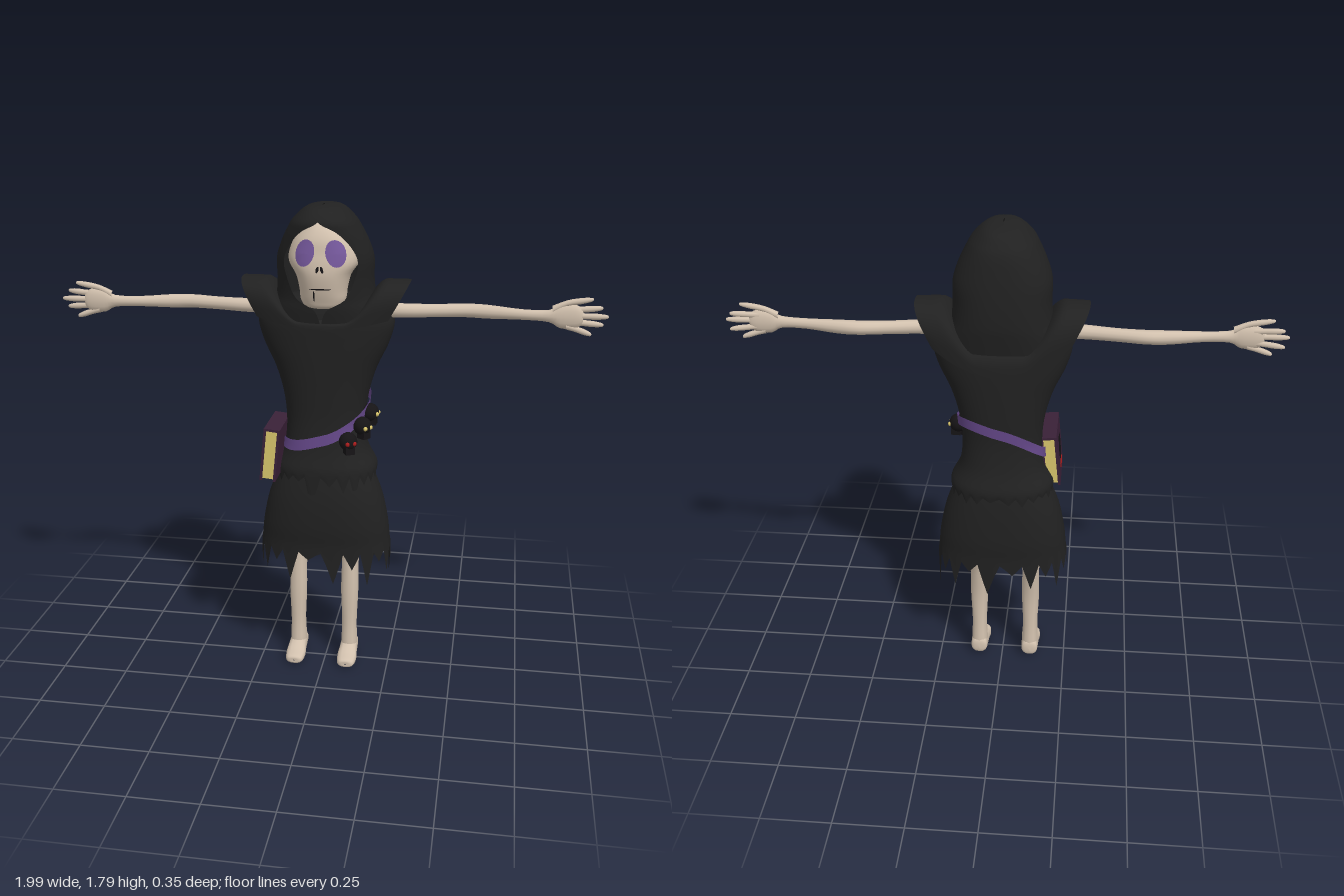
import * as THREE from 'three';
import { mergeVertices } from 'three/addons/utils/BufferGeometryUtils.js';

const mat = (name, color, side = THREE.FrontSide) => {
  const m = new THREE.MeshStandardMaterial({ color, side });
  m.name = name;
  return m;
};
const M = {
  cloth: mat('black cloth', 0x212121, THREE.DoubleSide),
  bone: mat('bone', 0xd2c1ae),
  belt: mat('purple leather', 0x644788, THREE.DoubleSide),
  eye: mat('violet eye', 0x75589c, THREE.DoubleSide),
  cover: mat('plum cover', 0x3a2138),
  page: mat('yellow pages', 0xd9c56c),
  red: mat('red', 0xa81c1c),
  dark: mat('near black', 0x161416, THREE.DoubleSide),
};

const add = (parent, name, geo, material, x = 0, y = 0, z = 0) => {
  const m = new THREE.Mesh(geo, material);
  m.name = name;
  m.position.set(x, y, z);
  parent.add(m);
  return m;
};

// Smooth surface from a point rule over u, v in 0..1
function surface(nu, nv, rule) {
  const pos = [], idx = [];
  for (let j = 0; j <= nv; j++) for (let i = 0; i <= nu; i++) pos.push(...rule(i / nu, j / nv));
  for (let j = 0; j < nv; j++) for (let i = 0; i < nu; i++) {
    const a = j * (nu + 1) + i, c = a + nu + 1;
    idx.push(a, a + 1, c, a + 1, c + 1, c);
  }
  let g = new THREE.BufferGeometry();
  g.setAttribute('position', new THREE.Float32BufferAttribute(pos, 3));
  g.setIndex(idx);
  g = mergeVertices(g, 1e-5);
  g.computeVertexNormals();
  return g;
}

// Catmull-Rom through rows of numbers
function sample(rows, f) {
  const s = f * (rows.length - 1), i = Math.min(Math.floor(s), rows.length - 2), t = s - i;
  const r = k => rows[Math.max(0, Math.min(rows.length - 1, k))];
  return rows[i].map((b, n) => {
    const a = r(i - 1)[n], c = r(i + 1)[n], d = r(i + 2)[n];
    return b + 0.5 * t * (c - a + t * (2 * a - 5 * b + 4 * c - d + t * (3 * (b - c) + d - a)));
  });
}
const POW = 0.85;
const sp = v => Math.sign(v) * Math.abs(v) ** POW;
const ringPoint = ([y, rx, zf, zb], t) =>
  [rx * sp(Math.sin(t)), y, (zf + zb) / 2 - (zf - zb) / 2 * sp(Math.cos(t))];

// Rows run top to bottom: [y, half width, front z, back z, half opening]; angle 0 is the back
function loft(rows, n = 32, hem = null) {
  const nv = (rows.length - 1) * 4;
  return surface(n, nv, (u, v) => {
    const row = sample(rows, v);
    const open = Math.max(0, row[4] || 0) / Math.max(row[1], 1e-4);
    const T = Math.PI - Math.asin(Math.min(1, open ** (1 / POW)));
    const p = ringPoint(row, (u * 2 - 1) * T);
    if (hem) p[1] -= hem(u) * Math.max(0, v * (rows.length - 1) - (rows.length - 2));
    return p;
  });
}

// Limb along x through [x, y, z, y radius, z radius]
const limb = (rows, n = 10) => surface(n, (rows.length - 1) * 3, (u, v) => {
  const [x, y, z, ry, rz] = sample(rows, v), t = u * 2 * Math.PI;
  return [x, y + ry * Math.cos(t), z + rz * Math.sin(t)];
});

// Row of a loft at a given height
function rowAt(rows, y) {
  let i = 0;
  while (i < rows.length - 2 && rows[i + 1][0] > y) i++;
  const t = (rows[i][0] - y) / (rows[i][0] - rows[i + 1][0]);
  return rows[i].map((a, k) => a + (rows[i + 1][k] - a) * t);
}

// Triangular tatters, one depth per tooth
const tatters = depths => u => {
  const s = Math.min(u, 0.99999) * depths.length, k = Math.floor(s);
  return u === 1 ? 0 : depths[k] * (1 - Math.abs(2 * (s - k) - 1));
};

const TORSO = [
  [1.47, 0.02, 0, -0.05], [1.45, 0.17, 0.07, -0.11], [1.39, 0.245, 0.095, -0.135], [1.3, 0.232, 0.097, -0.14],
  [1.2, 0.187, 0.095, -0.14], [1.1, 0.158, 0.092, -0.138], [1.0, 0.147, 0.092, -0.135],
  [0.9, 0.156, 0.105, -0.148], [0.83, 0.19, 0.125, -0.17], [0.805, 0.19, 0.125, -0.168],
];
const SKIRT = [
  [0.86, 0.15, 0.09, -0.13], [0.79, 0.18, 0.115, -0.148], [0.7, 0.215, 0.13, -0.157],
  [0.6, 0.237, 0.132, -0.16], [0.53, 0.245, 0.125, -0.155], [0.5, 0.25, 0.125, -0.155],
];
const SKULL = [
  [1.735, 0.002, 0.03, 0.02], [1.725, 0.05, 0.085, -0.07], [1.68, 0.1, 0.118, -0.1], [1.63, 0.124, 0.128, -0.1],
  [1.59, 0.124, 0.135, -0.09], [1.55, 0.098, 0.136, -0.06], [1.5, 0.085, 0.126, -0.04],
  [1.46, 0.08, 0.113, -0.02], [1.435, 0.06, 0.1, 0], [1.425, 0.002, 0.06, 0.04],
];
const HOOD = [
  [1.79, 0.002, 0.06, 0.02, 0], [1.782, 0.06, 0.13, -0.085, 0], [1.745, 0.105, 0.172, -0.125, 0],
  [1.71, 0.128, 0.172, -0.142, 0.06], [1.66, 0.153, 0.16, -0.152, 0.105], [1.6, 0.172, 0.15, -0.16, 0.13],
  [1.53, 0.172, 0.138, -0.165, 0.115], [1.47, 0.178, 0.128, -0.165, 0.085], [1.43, 0.19, 0.125, -0.16, 0.02],
  [1.37, 0.2, 0.115, -0.15, 0],
];

// Thin disc laid on the face
function faceDisc(cx, cy, rx, ry, tilt, lift) {
  const g = new THREE.RingGeometry(0.001, 1, 20, 5), p = g.attributes.position;
  for (let i = 0; i < p.count; i++) {
    const a = p.getX(i) * rx, b = p.getY(i) * ry;
    const x = cx + a * Math.cos(tilt) - b * Math.sin(tilt), y = cy + a * Math.sin(tilt) + b * Math.cos(tilt);
    const [, w, zf, zb] = rowAt(SKULL, y);
    const c = (1 - Math.min(1, Math.abs(x / w)) ** (2 / POW)) ** (POW / 2);
    p.setXYZ(i, x, y, (zf + zb) / 2 + (zf - zb) / 2 * c + lift);
  }
  g.computeVertexNormals();
  return g;
}

export function createModel() {
  const root = new THREE.Group();
  root.name = 'hoodedSkeleton';

  // Robe
  let seed = 11;
  const rand = () => (seed = (seed * 16807) % 2147483647) / 2147483647;
  const skirtTeeth = Array.from({ length: 22 }, (_, k) => (k % 2 ? 0.09 : 0.03) + rand() * 0.06);
  const tunicTeeth = Array.from({ length: 24 }, () => 0.015 + rand() * 0.025);
  tunicTeeth[0] = 0.13;
  tunicTeeth[22] = 0.06;
  tunicTeeth[21] = 0.09;
  add(root, 'tunic', loft(TORSO, 96, tatters(tunicTeeth)), M.cloth);
  add(root, 'skirt', loft(SKIRT, 132, tatters(skirtTeeth)), M.cloth);
  add(root, 'hood', loft(HOOD, 48), M.cloth);

  // Shoulder cape: an arch from front hem over the top to the back hem
  add(root, 'shoulderCape', surface(40, 24, (u, v) => {
    const s = u * 2 - 1, q = s * s, a = v * Math.PI, up = Math.sin(a) ** 0.6;
    const top = 1.4 + 0.122 * THREE.MathUtils.smoothstep(Math.abs(s), 0.3, 0.72);
    const hem = v < 0.5 ? 1.365 + 0.03 * q : 1.29 + 0.09 * q;
    const c = sp(Math.cos(a));
    return [s * (0.235 + 0.07 * up), hem + (top - hem) * up, c > 0 ? -0.02 + c * (0.145 - 0.04 * q) : -0.02 + c * (0.14 - 0.03 * q)];
  }), M.cloth);

  // Skull
  add(root, 'skull', loft(SKULL, 32), M.bone);
  for (const s of [-1, 1]) {
    add(root, 'eye', faceDisc(s * 0.054, 1.632, 0.034, 0.047, s * 0.3, 0.005), M.eye);
    add(root, 'nostril', faceDisc(s * 0.008, 1.578, 0.005, 0.012, s * 0.3, 0.005), M.dark);
  }
  add(root, 'mouthGap', faceDisc(-0.022, 1.482, 0.003, 0.02, 0, 0.005), M.dark);
  add(root, 'mouthLine', faceDisc(0, 1.508, 0.04, 0.0025, 0, 0.004), M.dark);

  // Arms and hands
  for (const s of [-1, 1]) {
    const arm = new THREE.Group();
    arm.name = s > 0 ? 'leftArm' : 'rightArm';
    arm.scale.x = s;
    root.add(arm);
    add(arm, 'armBone', limb([
      [0.15, 1.415, -0.01, 0.03, 0.026], [0.28, 1.413, -0.012, 0.026, 0.026], [0.4, 1.413, -0.03, 0.024, 0.024],
      [0.5, 1.414, -0.044, 0.025, 0.027], [0.58, 1.413, -0.038, 0.025, 0.024], [0.7, 1.412, -0.018, 0.019, 0.017],
      [0.79, 1.412, -0.01, 0.022, 0.016], [0.83, 1.412, -0.01, 0.042, 0.018], [0.88, 1.412, -0.01, 0.043, 0.016],
      [0.905, 1.412, -0.01, 0.025, 0.01], [0.908, 1.412, -0.01, 0.001, 0.001]], 12), M.bone);
    const fingers = [[0.8, 1.435, 0.94, 1.475], [0.86, 1.435, 0.975, 1.443], [0.86, 1.415, 0.995, 1.415],
      [0.86, 1.395, 0.98, 1.383], [0.85, 1.38, 0.94, 1.35]];
    fingers.forEach(([x0, y0, x1, y1], k) => add(arm, 'finger', limb([0, 0.35, 0.7, 0.95, 1].map((t, i) => {
      const r = [0.014, 0.011, 0.011, 0.007, 0.0005][i];
      return [x0 + (x1 - x0) * t, y0 + (y1 - y0) * (k ? t : Math.sqrt(t)), -0.01 - 0.012 * t * (k % 2), r, r];
    }), 8), M.bone));
  }

  // Legs and feet
  for (const [name, x] of [['leftLeg', 0.092], ['rightLeg', -0.112]]) {
    const leg = new THREE.Group();
    leg.name = name;
    leg.position.x = x;
    root.add(leg);
    add(leg, 'legBone', loft([[0.75, 0.03, -0.02, -0.09], [0.6, 0.034, -0.005, -0.1], [0.48, 0.036, 0.004, -0.096],
      [0.4, 0.033, 0.008, -0.078], [0.28, 0.034, 0.012, -0.06], [0.15, 0.029, 0.012, -0.06],
      [0.06, 0.032, 0.018, -0.066], [0.02, 0.03, 0.02, -0.066]], 12), M.bone);
    const foot = loft([[0.096, 0.002, -0.015, -0.02], [0.092, 0.03, -0.003, -0.034], [0.05, 0.038, 0, -0.046],
      [0.01, 0.035, 0, -0.068], [-0.04, 0.033, -0.004, -0.08], [-0.064, 0.029, -0.012, -0.07],
      [-0.07, 0.002, -0.03, -0.04]], 14).rotateX(Math.PI / 2);
    add(leg, 'foot', foot, M.bone);
  }

  // Slanted belt hugging the tunic
  add(root, 'belt', surface(64, 3, (u, v) => {
    const t = u * 2 * Math.PI;
    const y = 0.99 + 0.42 * 0.15 * Math.sin(t) + 0.5 * (0.022 + 0.115 * Math.cos(t)) + 0.02 - 0.04 * v;
    const [, rx, zf, zb] = rowAt(TORSO, y);
    return ringPoint([y, rx + 0.009, zf + 0.009, zb - 0.009], t);
  }), M.belt);

  // Small dark skull charms on the belt
  [[0.1, 0.95, 0.11, M.red, 0.5], [0.145, 0.995, 0.06, M.page, 0.9], [0.165, 1.03, 0, M.page, 1.5]].forEach(([x, y, z, m, turn]) => {
    const charm = new THREE.Group();
    charm.name = 'charm';
    charm.position.set(x, y, z);
    charm.rotation.y = turn;
    root.add(charm);
    add(charm, 'charmHead', new THREE.SphereGeometry(0.034, 14, 10), M.dark);
    add(charm, 'charmJaw', new THREE.BoxGeometry(0.034, 0.03, 0.035), M.dark, 0, -0.03, 0.008);
    for (const s of [-1, 1])
      add(charm, 'charmEye', new THREE.SphereGeometry(0.0085, 8, 6), m, s * 0.013, -0.002, 0.029);
  });

  // Book hung from the belt
  const book = new THREE.Group();
  book.name = 'book';
  book.position.set(-0.18, 0.9, 0.065);
  book.rotation.z = -0.1;
  root.add(book);
  add(book, 'pages', new THREE.BoxGeometry(0.042, 0.184, 0.2), M.page);
  for (const s of [-1, 1]) add(book, 'cover', new THREE.BoxGeometry(0.009, 0.2, 0.21), M.cover, s * 0.025, 0, 0);
  add(book, 'spine', new THREE.BoxGeometry(0.055, 0.009, 0.21), M.cover, 0, 0.096, 0);
  const disc = add(book, 'coverDisc', new THREE.CircleGeometry(0.05, 20), M.dark, -0.031, 0.01, 0);
  disc.rotation.y = -Math.PI / 2;
  add(book, 'coverBar', new THREE.BoxGeometry(0.004, 0.014, 0.07), M.red, -0.031, -0.055, 0);
  return root;
}
